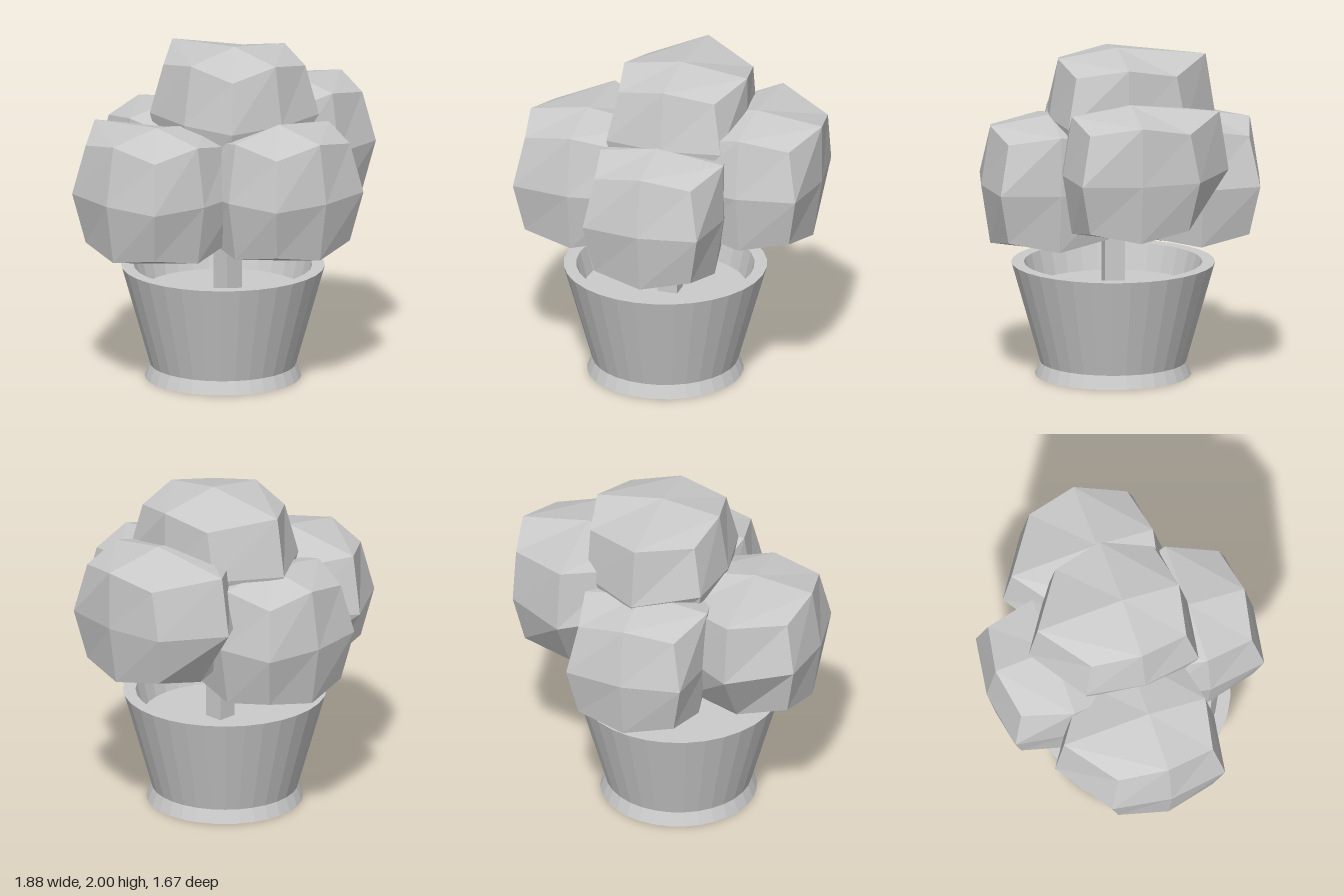
import * as THREE from 'three';

const material = new THREE.MeshStandardMaterial({ color: 0xcccccc, flatShading: true });

function addMesh(group, name, geometry, x, y, z) {
  const mesh = new THREE.Mesh(geometry, material);
  mesh.name = name;
  mesh.position.set(x, y, z);
  group.add(mesh);
  return mesh;
}

// A 2x2x2-segment cube puffed towards a ball, with a pulled-out back ridge
function foliageGeometry() {
  const geometry = new THREE.BoxGeometry(2, 2, 2, 2, 2, 2);
  const pos = geometry.attributes.position;
  const reach = [0, 0.41, 0.355, 0.298]; // face centre, edge middle, corner
  for (let i = 0; i < pos.count; i++) {
    const [x, y, z] = [pos.getX(i), pos.getY(i), pos.getZ(i)].map(Math.round);
    const r = reach[Math.abs(x) + Math.abs(y) + Math.abs(z)];
    const ridge = x === 0 && y >= 0 && z === -1 ? -0.18 : 0;
    const shoulder = x === 1 && y === 1 && z <= 0 ? 0.055 : 0;
    pos.setXYZ(i, x * r + shoulder, y * r, z * r + ridge);
  }
  geometry.computeVertexNormals();
  return geometry;
}

export function createModel() {
  const model = new THREE.Group();
  model.name = 'pottedTree';

  // Pot: flared foot, tapered wall, rim and inner wall down to the soil
  const potProfile = [
    [0, 0], [0.465, 0], [0.435, 0.08], [0.605, 0.68], [0.53, 0.68], [0.49, 0.52],
  ].map(([r, y]) => new THREE.Vector2(r, y));
  addMesh(model, 'pot', new THREE.LatheGeometry(potProfile, 32), -0.033, 0, 0.025);

  const soil = addMesh(model, 'soil', new THREE.CircleGeometry(0.49, 32), -0.033, 0.52, 0.025);
  soil.rotation.x = -Math.PI / 2;

  // Trunk, running up into the crown
  addMesh(model, 'trunk', new THREE.BoxGeometry(0.12, 0.8, 0.12), 0, 0.92, 0.03);

  // Crown: one puff shape repeated, the back one turned around
  const puff = foliageGeometry();
  const puffs = [
    ['topFoliage', 0.065, 1.59, 0.02, 0],
    ['leftFoliage', 0.53, 1.34, 0.02, 0],
    ['rightFoliage', -0.53, 1.195, -0.022, 0],
    ['frontFoliage', 0.045, 1.195, 0.425, 0],
    ['backFoliage', 0.045, 1.195, -0.43, Math.PI],
  ];
  for (const [name, x, y, z, turn] of puffs) {
    addMesh(model, name, puff, x, y, z).rotation.y = turn;
  }

  return model;
}
